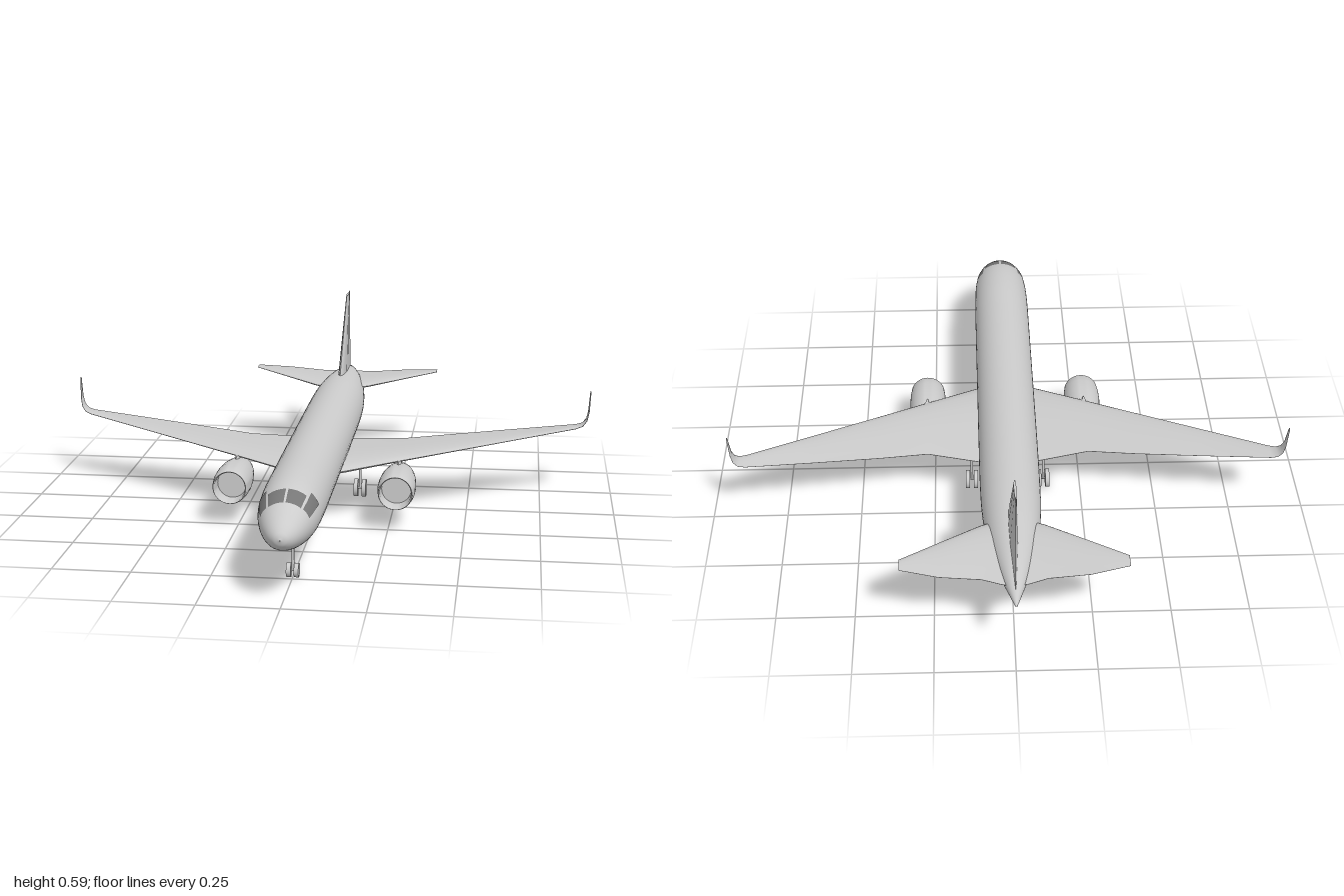
import * as THREE from 'three';
import { toCreasedNormals } from 'three/addons/utils/BufferGeometryUtils.js';
import { ParametricGeometry } from 'three/addons/geometries/ParametricGeometry.js';

const grey = new THREE.MeshStandardMaterial({ color: 0xcccccc });
const greyDouble = new THREE.MeshStandardMaterial({ color: 0xcccccc, side: THREE.DoubleSide });
const glass = new THREE.MeshStandardMaterial({ color: 0x777777, side: THREE.DoubleSide });

// Fuselage stations from nose to tail: z, top, bottom, half width
const stations = [
  [1, 0.208, 0.206, 0.001], [0.99, 0.228, 0.184, 0.024], [0.96, 0.254, 0.164, 0.049],
  [0.9, 0.29, 0.146, 0.075], [0.82, 0.317, 0.134, 0.092], [0.7, 0.328, 0.13, 0.098],
  [0.5, 0.329, 0.13, 0.099], [0.15, 0.329, 0.13, 0.099], [-0.15, 0.329, 0.13, 0.099],
  [-0.4, 0.328, 0.131, 0.098], [-0.55, 0.325, 0.143, 0.093], [-0.7, 0.316, 0.171, 0.077],
  [-0.85, 0.3, 0.212, 0.045], [-1, 0.268, 0.264, 0.002],
];
const LAST = stations.length - 1;
const heights = new THREE.CatmullRomCurve3(stations.map(s => new THREE.Vector3(s[0], s[1], s[2])), false, 'catmullrom');
const widths = new THREE.CatmullRomCurve3(stations.map(s => new THREE.Vector3(s[0], s[3], 0)), false, 'catmullrom');

// Point on the fuselage skin; angle is measured from the top
function skin(station, angle, scale, target) {
  const t = station / LAST;
  const h = heights.getPoint(t), w = widths.getPoint(t);
  const r = (h.y - h.z) / 2;
  target.set(-Math.sin(angle) * w.y * scale, (h.y + h.z) / 2 + Math.cos(angle) * r * scale, h.x);
}

function add(parent, name, geometry, material = grey) {
  const mesh = new THREE.Mesh(geometry, material);
  mesh.name = name;
  parent.add(mesh);
  return mesh;
}

// Airfoil outline: chord fraction, thickness fraction
const upper = [[1, 0.04], [0.8, 0.38], [0.55, 0.8], [0.3, 1], [0.12, 0.8], [0.03, 0.42]];
const airfoil = [...upper, [0, 0], ...upper.slice().reverse().map(([c, t]) => [c, -t])];

// Lofts airfoil sections [x, y, leading z, trailing z, half thickness, cant]
function loftFoil(sections, side = 1) {
  const n = airfoil.length, pos = [], index = [];
  for (const [x, y, lead, trail, thick, cant] of sections) {
    for (const [c, t] of airfoil) {
      pos.push(side * (x - Math.sin(cant) * t * thick), y + Math.cos(cant) * t * thick, lead + (trail - lead) * c);
    }
  }
  const tri = (a, b, c) => (side > 0 ? index.push(a, b, c) : index.push(a, c, b));
  for (let s = 0; s < sections.length - 1; s++) {
    for (let i = 0; i < n; i++) {
      const a = s * n + i, b = s * n + (i + 1) % n;
      tri(a, a + n, b);
      tri(b, a + n, b + n);
    }
  }
  const end = (sections.length - 1) * n;
  for (let i = 1; i < n - 1; i++) {
    tri(0, i, i + 1);
    tri(end, end + i + 1, end + i);
  }
  // Turn the faces outward if the enclosed volume is negative
  const p = i => new THREE.Vector3().fromArray(pos, index[i] * 3);
  let volume = 0;
  for (let i = 0; i < index.length; i += 3) volume += p(i).dot(p(i + 1).cross(p(i + 2)));
  if (volume < 0) index.reverse();
  const geometry = new THREE.BufferGeometry();
  geometry.setAttribute('position', new THREE.Float32BufferAttribute(pos, 3));
  geometry.setIndex(index);
  return toCreasedNormals(geometry, 0.7);
}

// Strut with an axle and a pair of wheels
function landingGear(name, x, z, radius, spread, top) {
  const gear = new THREE.Group();
  gear.name = name;
  const strut = add(gear, 'strut', new THREE.CylinderGeometry(0.0045, 0.0045, top - radius, 12));
  strut.position.y = (top + radius) / 2;
  const axle = add(gear, 'axle', new THREE.CylinderGeometry(0.004, 0.004, spread * 2, 10));
  axle.rotation.z = Math.PI / 2;
  axle.position.y = radius;
  for (const s of [-1, 1]) {
    const wheel = add(gear, 'wheel', new THREE.CylinderGeometry(radius, radius, 0.014, 28));
    wheel.rotation.z = Math.PI / 2;
    wheel.position.set(s * spread, radius, 0);
  }
  gear.position.set(x, 0, z);
  return gear;
}

// Hollow nacelle with fan face and exhaust, axis along z
function nacelle() {
  const profile = [
    [0, 0.09], [0.039, 0.09], [0.041, 0.055], [0.045, 0.055], [0.053, 0.09], [0.06, 0.14],
    [0.063, 0.19], [0.062, 0.235], [0.058, 0.268], [0.055, 0.275], [0.051, 0.268], [0.049, 0.22], [0, 0.22],
  ].map(([r, z]) => new THREE.Vector2(r, z));
  return toCreasedNormals(new THREE.LatheGeometry(profile, 40).rotateX(Math.PI / 2), 0.7);
}

export function createModel() {
  const model = new THREE.Group();
  model.name = 'airliner';

  add(model, 'fuselage', new ParametricGeometry(
    (u, v, target) => skin(u * LAST, v * Math.PI * 2, 1, target), 91, 48));

  for (const side of [1, -1]) {
    const label = side > 0 ? 'left' : 'right';

    // Cockpit panes: station range, angle range
    for (const [name, s0, s1, a0, a1] of [['FrontPane', 3, 3.8, 0.04, 0.68], ['SidePane', 3.05, 4.15, 0.78, 1.22]]) {
      add(model, label + name, new ParametricGeometry((u, v, target) =>
        skin(s0 + (s1 - s0) * u, -side * (a0 + (a1 - a0) * v), 1.012, target), 8, 8), glass);
    }

    // Wing with a curved upturned tip
    add(model, label + 'Wing', loftFoil([
      [0, 0.178, 0.262, -0.215, 0.021, 0.04], [0.1, 0.184, 0.208, -0.21, 0.019, 0.04],
      [0.27, 0.197, 0.113, -0.18, 0.013, 0.05], [0.43, 0.208, 0.024, -0.212, 0.009, 0.07],
      [0.65, 0.224, -0.098, -0.25, 0.006, 0.07], [0.87, 0.24, -0.22, -0.286, 0.004, 0.1],
      [0.893, 0.246, -0.234, -0.289, 0.0038, 0.5], [0.907, 0.262, -0.247, -0.29, 0.0035, 1],
      [0.914, 0.29, -0.26, -0.291, 0.003, 1.35], [0.919, 0.36, -0.281, -0.293, 0.002, 1.5],
    ], side));

    // Horizontal tail
    add(model, label + 'Stabilizer', loftFoil([
      [0, 0.266, -0.6, -0.91, 0.015, 0.08], [0.04, 0.268, -0.61, -0.905, 0.014, 0.08],
      [0.1, 0.272, -0.638, -0.886, 0.012, 0.08], [0.23, 0.283, -0.728, -0.884, 0.007, 0.08],
      [0.35, 0.293, -0.812, -0.86, 0.003, 0.08],
    ], side));

    // Engine hung under the wing
    const engine = new THREE.Group();
    engine.name = label + 'Engine';
    add(engine, 'nacelle', nacelle(), greyDouble).position.set(side * 0.275, 0.133, 0);
    add(engine, 'pylon', loftFoil([
      [0.275, 0.16, 0.19, 0.02, 0.008, Math.PI / 2], [0.275, 0.2, 0.13, -0.02, 0.007, Math.PI / 2],
    ], side));
    model.add(engine);

    model.add(landingGear(label + 'MainGear', side * 0.123, -0.112, 0.031, 0.014, 0.19));
  }

  // Vertical tail fin
  add(model, 'fin', loftFoil([
    [0, 0.275, -0.53, -0.942, 0.016, Math.PI / 2], [0, 0.33, -0.578, -0.937, 0.0135, Math.PI / 2],
    [0, 0.587, -0.8, -0.912, 0.004, Math.PI / 2],
  ]));

  model.add(landingGear('noseGear', 0, 0.73, 0.022, 0.012, 0.16));
  return model;
}
